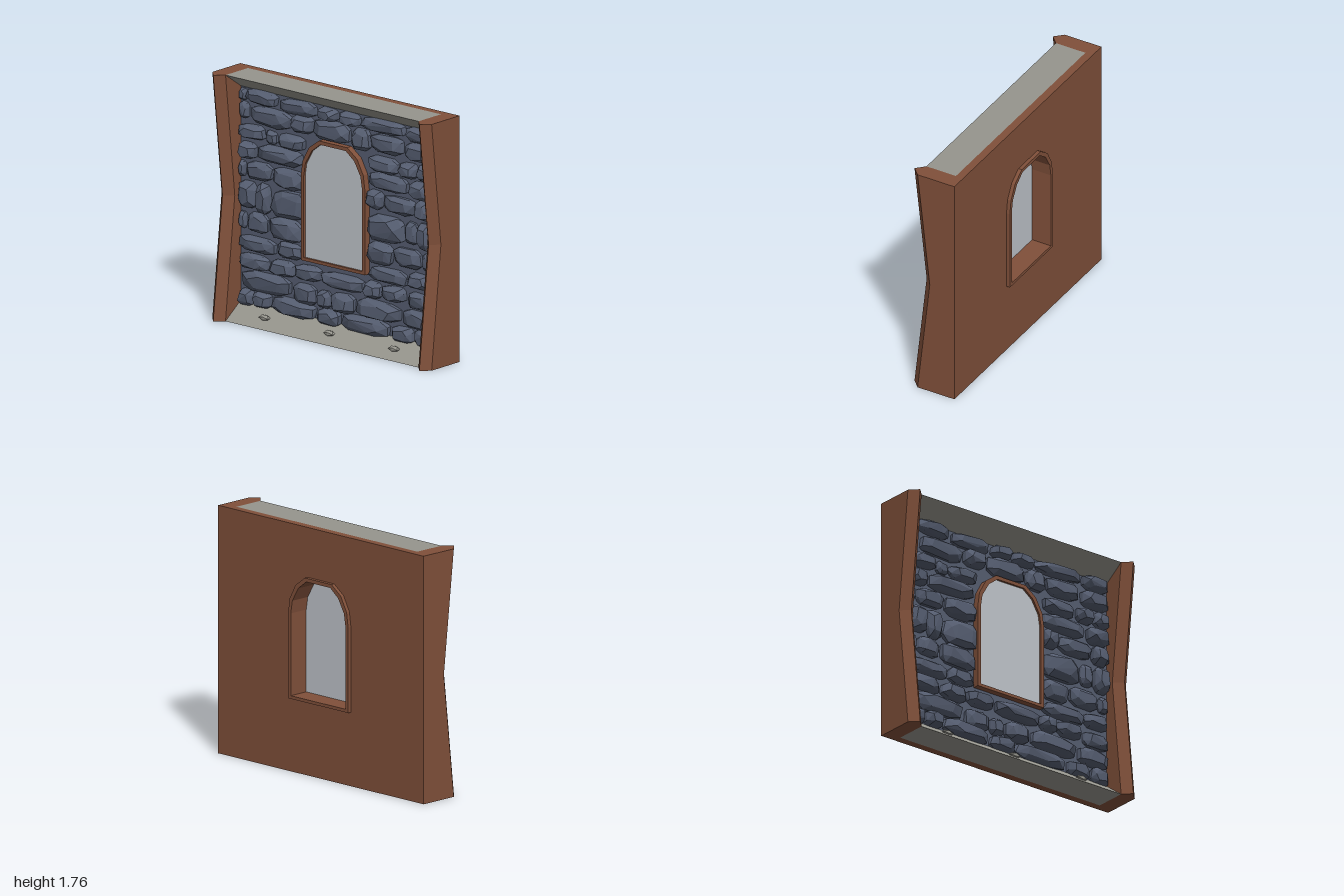
import * as THREE from 'three';
import { ConvexGeometry } from 'three/addons/geometries/ConvexGeometry.js';

const H = 1.76, BACK = -0.163, SLAB = -0.105, WALL = -0.03;

function material(name, color) {
  const m = new THREE.MeshStandardMaterial({ color });
  m.name = name;
  return m;
}

// Small seeded generator, returns -1..1
function seeded(seed) {
  return () => {
    seed = (seed * 16807) % 2147483647;
    return (seed / 2147483647) * 2 - 1;
  };
}

function polygon(points, Type = THREE.Shape) {
  return new Type(points.map(([x, y]) => new THREE.Vector2(x, y)));
}

// Outline of the arched window, moved inwards by t
function archPoints(t) {
  const half = [[0.292, 0.524], [0.292, 1.13], [0.277, 1.235], [0.22, 1.34], [0.13, 1.406]];
  const right = half.map(([x, y], i) => [
    x - (i === 4 ? t * 0.5 : t),
    i === 0 ? y + t * 0.85 : i === 1 ? y : y - t * (0.25 * i),
  ]);
  return [...right, ...right.map(([x, y]) => [-x, y]).reverse()];
}

function extrude(shape, z0, z1, steps = 1) {
  const g = new THREE.ExtrudeGeometry(shape, { depth: z1 - z0, bevelEnabled: false, steps });
  return g.translate(0, 0, z0);
}

// Wall layer with the window opening cut out
function wallLayer(y0, y1, z0, z1) {
  const s = polygon([[-0.88, y0], [0.88, y0], [0.88, y1], [-0.88, y1]]);
  s.holes.push(polygon(archPoints(0.012), THREE.Path));
  return extrude(s, z0, z1);
}

// Side post: pointed front edge, pinched at mid height
function postGeometry() {
  const s = polygon([[0.88, 0.163], [1, 0.163], [1, -0.13], [0.94, -0.19], [0.88, -0.13]]);
  const g = extrude(s, 0, H, 2).rotateX(-Math.PI / 2);
  const p = g.attributes.position;
  for (let i = 0; i < p.count; i++) {
    if (p.getZ(i) > 0 && Math.abs(p.getY(i) - H / 2) < 0.01) p.setZ(i, p.getZ(i) - 0.097);
  }
  g.computeVertexNormals();
  return g;
}

// Sloped bar across the wall; flip puts it at the top
function barGeometry(flip) {
  const h = flip ? 0.11 : 0.118;
  const pts = [[SLAB, 0], [0.13, 0], [WALL, h], [SLAB, h]];
  const s = polygon(pts.map(([z, y]) => [z, flip ? H - y : y]));
  return extrude(s, 0, 1.76).rotateY(-Math.PI / 2).translate(0.88, 0, 0);
}

// Chipped stone: rough outline, shoulder and a smaller tilted face
function stoneGeometry(w, h, d, rnd) {
  const pts = [];
  const ring = (n, scale, z, turn) => {
    for (let i = 0; i < n; i++) {
      const a = ((i + turn) / n) * Math.PI * 2;
      const c = Math.cos(a), s = Math.sin(a);
      const k = scale * (1 + rnd() * 0.08);
      pts.push(new THREE.Vector3(
        Math.sign(c) * Math.pow(Math.abs(c), 0.6) * w * 0.5 * k,
        Math.sign(s) * Math.pow(Math.abs(s), 0.6) * h * 0.5 * k,
        z + rnd() * d * 0.1));
    }
  };
  ring(8, 0.97, -0.015, 0.5);
  ring(8, 0.96, d * 0.4, 0.4 + rnd() * 0.2);
  ring(5, 0.62, d * 0.92, rnd());
  return new ConvexGeometry(pts);
}

// Courses: centre height, stone height, then the joints from left to right
const COURSES = [
  [1.605, 0.1, -0.88, -0.81, -0.52, -0.16, 0.03, 0.23, 0.64, 0.88],
  [1.485, 0.145, -0.88, -0.79, -0.4, -0.2, 0.15, 0.32, 0.63, 0.88],
  [1.34, 0.11, -0.88, -0.64, -0.53, -0.28, 0.3, 0.59, 0.75, 0.88],
  [1.215, 0.12, -0.88, -0.72, -0.28, 0.29, 0.68, 0.88],
  [1.07, 0.135, -0.88, -0.82, -0.57, -0.28, 0.29, 0.44, 0.73, 0.88],
  [0.885, 0.21, -0.88, -0.72, -0.59, -0.27, 0.28, 0.63, 0.75, 0.88],
  [0.7, 0.15, -0.88, -0.81, -0.61, -0.29, 0.29, 0.53, 0.79, 0.88],
  [0.555, 0.115, -0.88, -0.54, -0.3, 0.3, 0.66, 0.88],
  [0.425, 0.115, -0.88, -0.6, -0.37, -0.13, 0.27, 0.42, 0.65, 0.88],
  [0.28, 0.14, -0.86, -0.39, -0.17, -0.04, 0.18, 0.61, 0.88],
  [0.16, 0.12, -0.88, -0.74, -0.58, -0.17, 0.05, 0.51, 0.72, 0.88],
];

export function createModel() {
  const model = new THREE.Group();
  model.name = 'stoneWallWithWindow';
  const brown = material('brownWood', 0x80503a);
  const grey = material('paleGrey', 0x96958d);
  const blue = material('blueGreyStone', 0x555d70);
  const glass = material('glass', 0xbfc4ca);

  const add = (name, geometry, mat, parent = model) => {
    const mesh = new THREE.Mesh(geometry, mat);
    mesh.name = name;
    parent.add(mesh);
    return mesh;
  };

  // Wall layers, posts and bars
  add('backSlab', wallLayer(0, H, BACK, SLAB), brown);
  add('stoneBacking', wallLayer(0.11, 1.655, SLAB, WALL), blue);
  add('leftPost', postGeometry(), brown);
  add('rightPost', postGeometry().translate(-1.88, 0, 0), brown);
  add('bottomLedge', barGeometry(false), grey);
  add('topBeam', barGeometry(true), grey);

  // Window
  const ring = polygon(archPoints(0));
  ring.holes.push(polygon(archPoints(0.026), THREE.Path));
  add('windowFrame', extrude(ring, -0.19, 0.016), brown);
  add('windowPane', extrude(polygon(archPoints(0.02)), -0.04, 0), glass);

  // Stones
  const stones = new THREE.Group();
  stones.name = 'stones';
  model.add(stones);
  const rnd = seeded(4711);
  for (const [y, h, ...joints] of COURSES) {
    for (let i = 0; i < joints.length - 1; i++) {
      const x0 = joints[i], x1 = joints[i + 1], w = x1 - x0;
      const opening = x0 < 0 && x1 > 0 && w > 0.5;
      if (opening) continue;
      const small = w < 0.13;
      const hh = h * (small ? 0.85 : 1.02 + rnd() * 0.08);
      const d = small ? 0.045 : 0.07 + rnd() * 0.015;
      const stone = add('stone', stoneGeometry(w - 0.008, hh, d, rnd), blue, stones);
      stone.position.set((x0 + x1) / 2, y + rnd() * 0.008, WALL);
      stone.rotation.z = rnd() * 0.04;
    }
  }

  // Pebbles set into the ledge
  for (const x of [-0.59, 0, 0.59]) {
    const pebble = add('pebble', new THREE.IcosahedronGeometry(0.05, 0), grey);
    pebble.scale.set(1, 0.45, 0.6);
    pebble.position.set(x, 0.062, 0.052);
  }
  return model;
}
